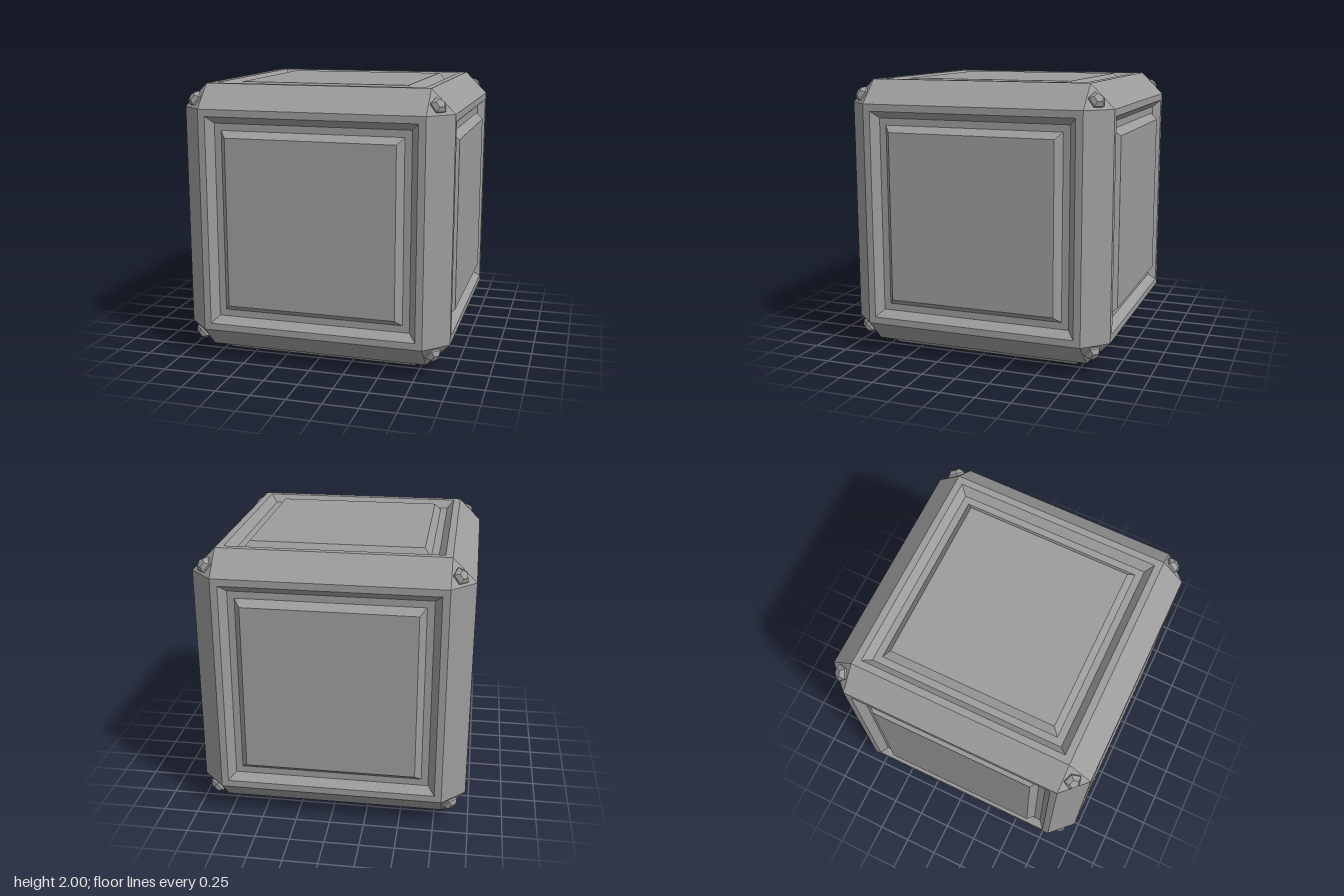
import * as THREE from 'three';

const HALF = 0.9725;   // half size of the cube body
const FLAT = 0.805;    // half size of each flat face inside the chamfers
const DEPTH = 0.055;   // depth of the groove round each panel

const material = new THREE.MeshStandardMaterial({ color: 0x9c9c9c, flatShading: true });

function addMesh(parent, name, geometry, rotation = [0, 0, 0]) {
  const mesh = new THREE.Mesh(geometry, material);
  mesh.name = name;
  mesh.rotation.set(...rotation);
  parent.add(mesh);
  return mesh;
}

// Faceted lathe round +y from [radius, height] pairs
function facetedLathe(pairs, sides, start) {
  return new THREE.LatheGeometry(pairs.map(([r, y]) => new THREE.Vector2(r, y)), sides, start);
}

// Square stepped face, from the rim inwards
function faceGeometry(step) {
  const profile = [
    [FLAT, HALF], [0.755, HALF], [0.705, HALF + step],
    [0.655, HALF + step], [0.61, HALF], [0, HALF],
  ];
  return facetedLathe(profile.map(([r, y]) => [r * Math.SQRT2, y]), 4, Math.PI / 4);
}

export function createModel() {
  const model = new THREE.Group();
  model.name = 'panelledCube';
  const body = new THREE.Group();
  body.name = 'body';
  body.position.y = HALF + DEPTH;
  model.add(body);
  const q = Math.PI / 2;

  // Panels with a sunken groove; the bottom has a raised foot ring instead
  const panel = faceGeometry(-DEPTH);
  addMesh(body, 'topPanel', panel);
  addMesh(body, 'frontPanel', panel, [q, 0, 0]);
  addMesh(body, 'backPanel', panel, [-q, 0, 0]);
  addMesh(body, 'leftPanel', panel, [0, 0, -q]);
  addMesh(body, 'rightPanel', panel, [0, 0, q]);
  addMesh(body, 'footRing', faceGeometry(DEPTH), [Math.PI, 0, 0]);

  // Twelve chamfered edges, four along each axis
  const mid = (HALF + FLAT) / 2;
  const edge = new THREE.PlaneGeometry(2 * FLAT, (HALF - FLAT) * Math.SQRT2);
  edge.rotateX(-Math.PI / 4).translate(0, mid, mid);
  const axes = [[0, 0, 0], [0, 0, q], [0, q, 0]];
  axes.forEach((turn) => {
    const set = new THREE.Group();
    set.name = 'edgeSet';
    set.rotation.set(...turn);
    body.add(set);
    for (let k = 0; k < 4; k++) addMesh(set, 'chamferedEdge', edge, [k * q, 0, 0]);
  });

  // Eight cut corners, each with a faceted stud
  const cut = new THREE.BufferGeometry().setFromPoints([
    new THREE.Vector3(HALF, FLAT, FLAT),
    new THREE.Vector3(FLAT, HALF, FLAT),
    new THREE.Vector3(FLAT, FLAT, HALF),
  ]);
  cut.computeVertexNormals();

  // Low five-sided dome pointing out along the corner diagonal
  const up = new THREE.Vector3(0, 1, 0);
  const diagonal = new THREE.Vector3(1, 1, 1).normalize();
  const centre = (HALF + 2 * FLAT) / 3;
  const stud = facetedLathe([[0.058, -0.01], [0.062, 0.015], [0.034, 0.042], [0, 0.042]], 5, 1.25 * Math.PI);
  stud.applyQuaternion(new THREE.Quaternion().setFromUnitVectors(up, diagonal));
  stud.translate(centre, centre, centre);

  for (const flip of [0, Math.PI]) {
    for (let k = 0; k < 4; k++) {
      const corner = new THREE.Group();
      corner.name = flip ? 'bottomCorner' : 'topCorner';
      corner.rotation.set(flip, k * q, 0);
      body.add(corner);
      addMesh(corner, 'cornerCut', cut);
      addMesh(corner, 'cornerStud', stud);
    }
  }
  return model;
}
